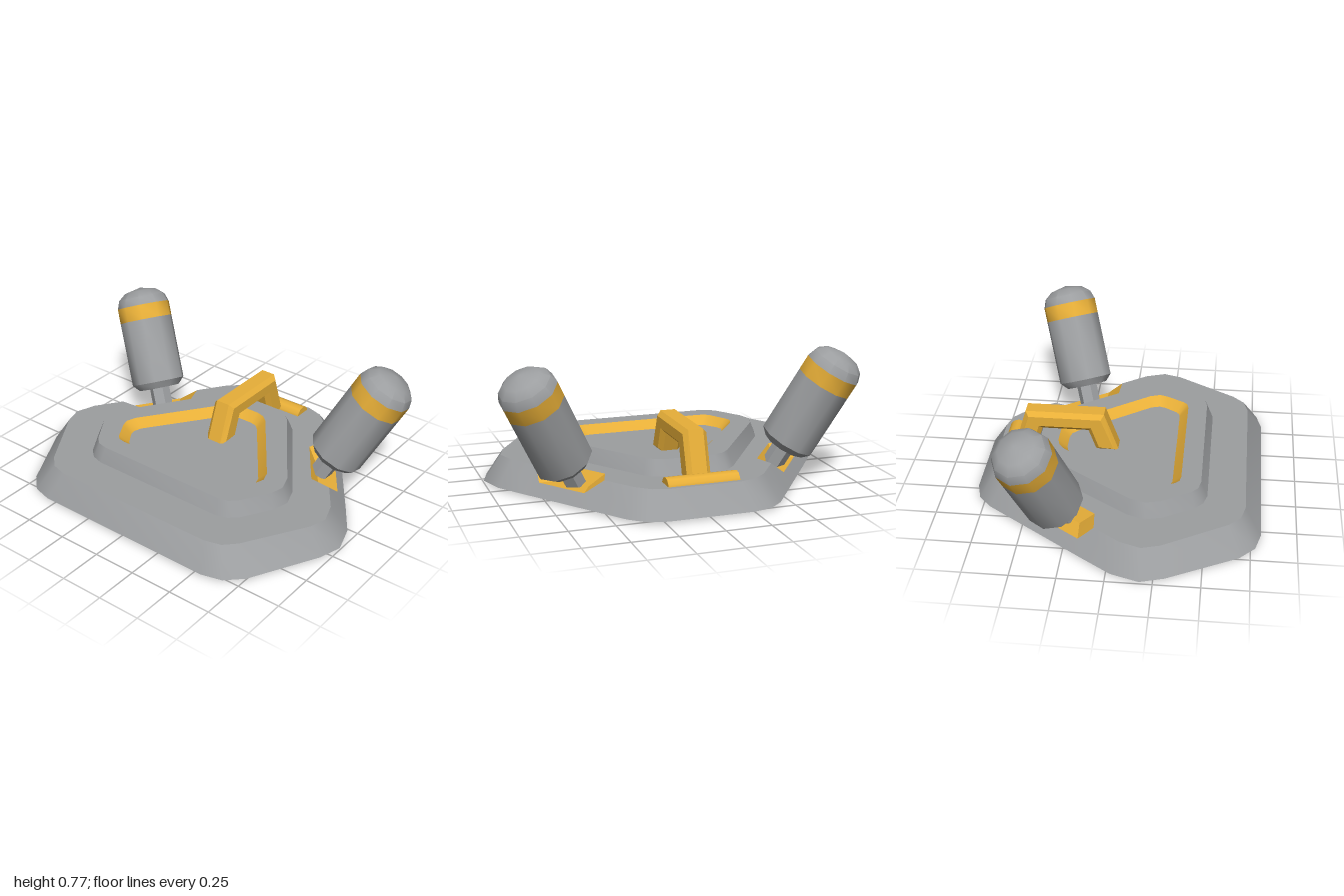
import * as THREE from 'three';
import { toCreasedNormals, mergeGeometries } from 'three/addons/utils/BufferGeometryUtils.js';

export function createModel() {
  const model = new THREE.Group();
  const grey = new THREE.MeshStandardMaterial({ color: 0x9c9ea0 });
  grey.name = 'grey metal';
  const yellow = new THREE.MeshStandardMaterial({ color: 0xeeb43a });
  yellow.name = 'yellow paint';

  const add = (name, geometry, material, parent = model) => {
    const mesh = new THREE.Mesh(geometry, material);
    mesh.name = name;
    parent.add(mesh);
    return mesh;
  };

  // Closed outline from its +x half, listed back to front as [x, z]
  const loop = (half) => [...half, ...half.map(([x, z]) => [-x, z]).reverse()];
  const lift = (pts, y) => pts.map(([x, z]) => [x, y, z]);
  const mirror = (half) => [...half, ...half.map(([x, y, z]) => [-x, y, z]).reverse()];

  // Creased surface from four-cornered faces
  const quads = (faces) => {
    const pos = faces.flatMap(([a, b, c, d]) => [a, b, c, a, c, d].flat());
    const g = new THREE.BufferGeometry();
    g.setAttribute('position', new THREE.Float32BufferAttribute(pos, 3));
    return toCreasedNormals(g, 0.6);
  };
  // Wall between two loops; faces outward when the first one is lower
  const loft = (a, b) => quads(a.map((p, i) => {
    const j = (i + 1) % a.length;
    return [p, b[i], b[j], a[j]];
  }));
  // Flat face at height y, facing up (dir 1) or down (dir -1)
  const cap = (pts, y, dir, hole) => {
    const vec = (l) => l.map(([x, z]) => new THREE.Vector2(x, -dir * z));
    const shape = new THREE.Shape(vec(pts));
    if (hole) shape.holes.push(new THREE.Path(vec(hole)));
    const g = new THREE.ShapeGeometry(shape).rotateX(-dir * Math.PI / 2).translate(0, y, 0).toNonIndexed();
    g.deleteAttribute('uv');
    return g;
  };

  // Notch corners, placed along (t) and out from (n) the slanted side
  const side = (t, n) => [0.815 * n + 0.58 * t, -0.58 * n + 0.815 * t];
  const at = ([x, z], y) => [x, y, z];
  const yBase = 0.012, yFloor = 0.08, yTop = 0.155, yDeck = 0.24, yPocket = 0.19;
  const A = side(-0.105, 0.662), B = side(-0.035, 0.567), C = side(0.292, 0.567), D = side(0.372, 0.662);
  const a = side(-0.011, 0.716), b = side(0.045, 0.61), c = side(0.22, 0.61), d = side(0.305, 0.716);

  // Base plate with a notch in each slanted side
  const lowBack = [[0.24, -0.81], [0.35, -0.78], [0.43, -0.71]];
  const lowFront = [[0.95, 0.025], [1, 0.18], [0.96, 0.31], [0.755, 0.69], [0.665, 0.775], [0.55, 0.805]];
  const topBack = [[0.2, -0.72], [0.29, -0.695], [0.365, -0.63]];
  const topFront = [[0.86, 0.065], [0.9, 0.18], [0.87, 0.28], [0.66, 0.625], [0.595, 0.69], [0.5, 0.715]];
  const lowNotch = [-0.105, -0.011, 0.305, 0.372].map((t) => side(t, 0.762));
  const low = loop([...lowBack, ...lowNotch, ...lowFront]);
  const rim = mirror([...lift(topBack, yTop), at(A, yTop), at(a, yFloor), at(d, yFloor), at(D, yTop), ...lift(topFront, yTop)]);

  // Recess in the underside
  const recess = loop([[0.16, -0.455], [0.225, -0.41], [0.54, 0.13], [0.575, 0.22], [0.55, 0.34], [0.48, 0.46], [0.4, 0.5]]);
  add('basePlate', mergeGeometries([
    loft(lift(low, yBase), rim),
    cap(loop([...topBack, A, B, C, D, ...topFront]), yTop, 1),
    cap(low, yBase, -1, recess),
    loft(lift(recess, 0.115), lift(recess, yBase)),
    cap(recess, 0.115, -1),
  ]), grey);

  // Shallow pad under the back
  const padTop = loop([[0.2, -0.72], [0.32, -0.56], [0.2, -0.46]]);
  const padLow = loop([[0.1, -0.58], [0.13, -0.53], [0.1, -0.48]]);
  add('bottomPad', mergeGeometries([
    loft(lift(padLow, 0), lift(padTop, yBase)), cap(padLow, 0, -1),
  ]), grey);

  // Raised deck with a sunken pocket
  const deckLow = loop([[0.15, -0.51], [0.21, -0.495], [0.26, -0.45], [0.62, 0.08], [0.655, 0.18], [0.63, 0.275], [0.53, 0.44], [0.48, 0.485], [0.41, 0.505]]);
  const deckTop = loop([[0.135, -0.475], [0.19, -0.46], [0.235, -0.42], [0.59, 0.09], [0.62, 0.18], [0.6, 0.26], [0.5, 0.42], [0.46, 0.455], [0.4, 0.468]]);
  const pocketTop = loop([[0.06, -0.368], [0.11, -0.355], [0.15, -0.322], [0.475, 0.12], [0.495, 0.18], [0.48, 0.225], [0.425, 0.325], [0.4, 0.35], [0.36, 0.357]]);
  const pocketLow = loop([[0.05, -0.318], [0.09, -0.308], [0.12, -0.28], [0.425, 0.13], [0.44, 0.18], [0.43, 0.215], [0.385, 0.285], [0.365, 0.302], [0.34, 0.308]]);
  add('deck', mergeGeometries([
    loft(lift(deckLow, yTop), lift(deckTop, yDeck)), cap(deckTop, yDeck, 1, pocketTop),
  ]), grey);
  add('pocketFloor', cap(pocketLow, yPocket, 1), grey);
  add('pocketWall', loft(lift(pocketTop, yDeck), lift(pocketLow, yPocket)), yellow);

  // Arched handle with chamfered edges, drawn in z and y
  const arch = new THREE.Shape([
    [-0.02, 0.18], [-0.105, 0.412], [-0.555, 0.412], [-0.638, 0.14],
    [-0.51, 0.14], [-0.46, 0.305], [-0.195, 0.305], [-0.15, 0.18],
  ].map(([z, y]) => new THREE.Vector2(z, y)));
  const chamfer = 0.025;
  const handle = new THREE.ExtrudeGeometry(arch, {
    depth: 0.084, bevelEnabled: true, bevelSegments: 1,
    bevelSize: chamfer, bevelThickness: chamfer, bevelOffset: -chamfer,
  });
  add('handle', handle.translate(0, 0, -0.042).rotateY(-Math.PI / 2), yellow);

  // Round bar at the foot of the handle
  const bar = add('handleBar', new THREE.CylinderGeometry(0.055, 0.055, 0.4, 12).rotateZ(Math.PI / 2), yellow);
  bar.position.set(0, 0.14, -0.645);

  // Notch linings and tilted canisters, one on each side
  for (const s of [1, -1]) {
    const name = s > 0 ? 'left' : 'right';
    const T = (p) => at(p, yTop), F = (p) => at(p, yFloor);
    const faces = [
      [F(a), F(b), F(c), F(d)],
      [T(A), T(B), F(b), F(a)],
      [T(B), T(C), F(c), F(b)],
      [T(D), F(d), F(c), T(C)],
    ];
    add(name + 'Notch', quads(s > 0 ? faces : faces.map((f) => f.map(([x, y, z]) => [-x, y, z]).reverse())), yellow);

    const canister = new THREE.Group();
    canister.name = name + 'Canister';
    canister.position.set(0.655 * s, 0.235, -0.303);
    canister.quaternion.setFromUnitVectors(
      new THREE.Vector3(0, 1, 0), new THREE.Vector3(0.433 * s, 0.866, -0.25).normalize());
    model.add(canister);
    const turned = (part, pts, mat, sides = 10) => add(part, toCreasedNormals(
      new THREE.LatheGeometry(pts.map(([r, y]) => new THREE.Vector2(r, y)), sides), 0.68), mat, canister);
    turned('stem', [[0, -0.17], [0.062, -0.17], [0.062, -0.04]], grey, 6);
    turned('body', [[0, -0.04], [0.125, -0.04], [0.163, 0], [0.163, 0.39]], grey);
    turned('band', [[0.163, 0.39], [0.163, 0.48]], yellow);
    turned('dome', [[0.163, 0.48], [0.145, 0.53], [0.1, 0.567], [0, 0.59]], grey);
  }
  return model;
}
